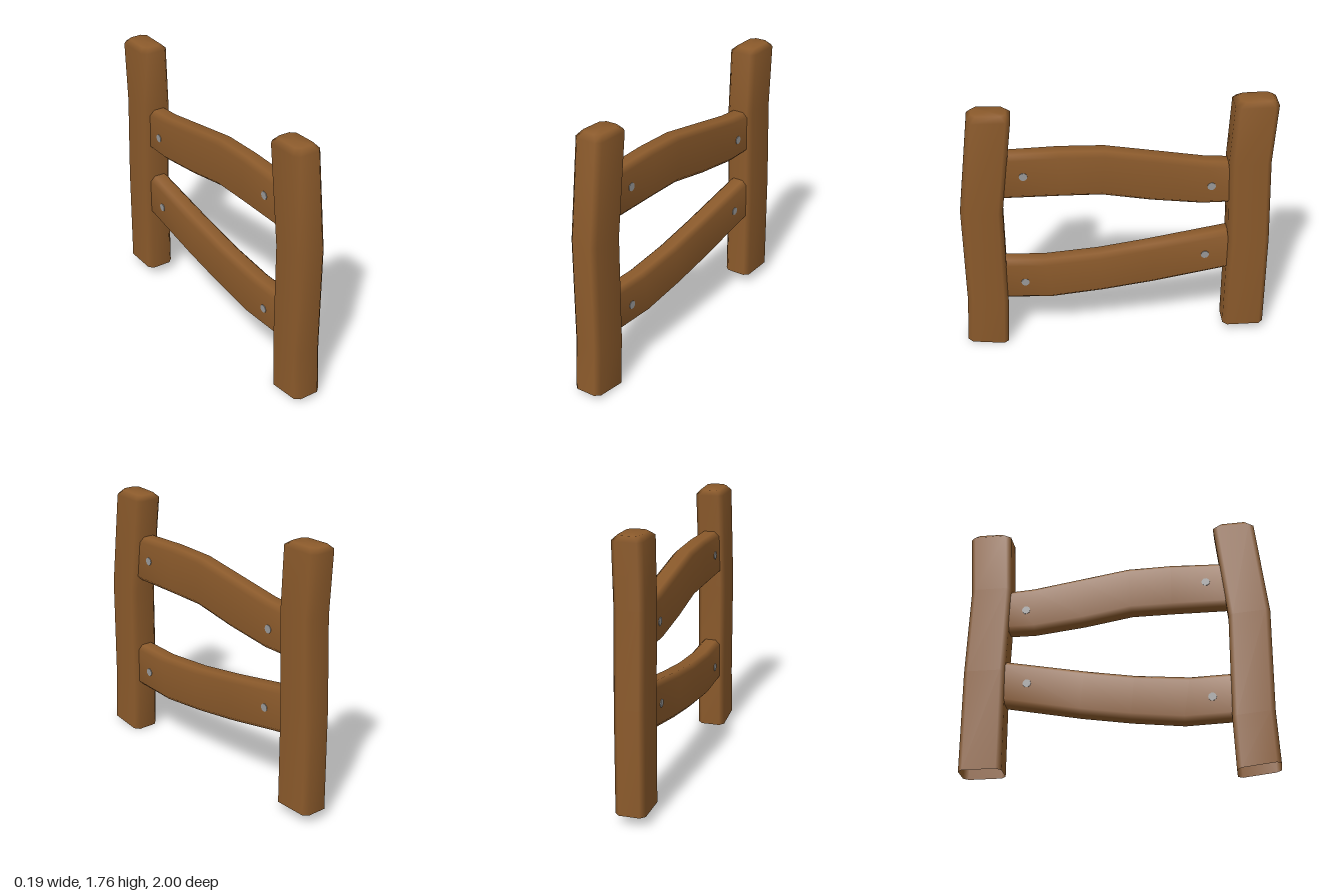
import * as THREE from 'three';

const wood = new THREE.MeshStandardMaterial({ color: 0x8b5a2b, side: THREE.DoubleSide });
wood.name = 'wood';
const metal = new THREE.MeshStandardMaterial({ color: 0x999999 });
metal.name = 'nailMetal';

const CHAMFER = 0.03;

// Chamfered beam swept through sections [z1, y1, z2, y2, halfWidth]:
// the two points are opposite edges of the beam in the side plane.
function beam(name, sections, capped) {
  const pos = [], index = [];
  for (const [z1, y1, z2, y2, w] of sections) {
    const cz = (z1 + z2) / 2, cy = (y1 + y2) / 2;
    const h = Math.hypot(z1 - z2, y1 - y2) / 2;
    const uz = (z1 - cz) / h, uy = (y1 - cy) / h;
    const a = w - CHAMFER, b = h - CHAMFER;
    const ring = [[-a, h], [a, h], [w, b], [w, -b], [a, -h], [-a, -h], [-w, -b], [-w, b]];
    for (const [x, t] of ring) pos.push(x, cy + uy * t, cz + uz * t);
  }
  for (let i = 0; i < sections.length - 1; i++) {
    for (let j = 0; j < 8; j++) {
      const k = (j + 1) % 8;
      const p = i * 8 + j, q = i * 8 + k;
      index.push(p, q, q + 8, p, q + 8, p + 8);
    }
  }
  if (capped) {
    const [z1, y1, z2, y2] = sections[sections.length - 1];
    const base = (sections.length - 1) * 8, c = sections.length * 8;
    pos.push(0, (y1 + y2) / 2, (z1 + z2) / 2);
    for (let j = 0; j < 8; j++) index.push(c, base + j, base + (j + 1) % 8);
  }
  const geo = new THREE.BufferGeometry();
  geo.setAttribute('position', new THREE.Float32BufferAttribute(pos, 3));
  geo.setIndex(index);
  geo.computeVertexNormals();
  const mesh = new THREE.Mesh(geo, wood);
  mesh.name = name;
  return mesh;
}

export function createModel() {
  const group = new THREE.Group();
  group.name = 'woodenFence';
  const W = 0.095, R = 0.067;

  // Crooked posts, open underneath, bevelled on top
  group.add(beam('frontPost', [
    [1.0, 0.035, 0.73, 0.003, W],
    [0.982, 0.37, 0.715, 0.345, W],
    [0.985, 1.06, 0.718, 1.04, W],
    [0.908, 1.695, 0.64, 1.69, W],
    [0.877, 1.73, 0.667, 1.722, W - 0.03],
  ], true));
  group.add(beam('backPost', [
    [-0.725, 0.07, -1.0, 0.07, W],
    [-0.727, 0.74, -0.998, 0.74, W],
    [-0.707, 1.33, -0.975, 1.33, W],
    [-0.725, 1.73, -0.997, 1.73, W],
    [-0.76, 1.757, -0.97, 1.76, W - 0.03],
  ], true));

  // Bent rails, their ends sunk into the posts
  group.add(beam('upperRail', [
    [0.74, 1.435, 0.74, 1.128, R],
    [0.355, 1.447, 0.355, 1.128, R],
    [0.07, 1.44, 0.09, 1.125, R],
    [-0.235, 1.39, -0.225, 1.07, R],
    [-0.557, 1.337, -0.55, 1.03, R],
    [-0.75, 1.323, -0.75, 1.03, R],
  ], false));
  group.add(beam('lowerRail', [
    [0.74, 0.649, 0.74, 0.352, R],
    [0.46, 0.64, 0.42, 0.34, R],
    [0.11, 0.67, 0.086, 0.376, R],
    [-0.21, 0.72, -0.24, 0.425, R],
    [-0.74, 0.817, -0.76, 0.523, R],
  ], false));

  // Nail heads on both sides of the rails
  const nailGeo = new THREE.CylinderGeometry(0.027, 0.027, 0.008, 10).rotateZ(Math.PI / 2);
  for (const [z, y] of [[0.58, 1.296], [-0.603, 1.17], [0.598, 0.488], [-0.582, 0.645]]) {
    for (const side of [1, -1]) {
      const nail = new THREE.Mesh(nailGeo, metal);
      nail.name = 'nailHead';
      nail.position.set(side * R, y, z);
      group.add(nail);
    }
  }
  return group;
}
